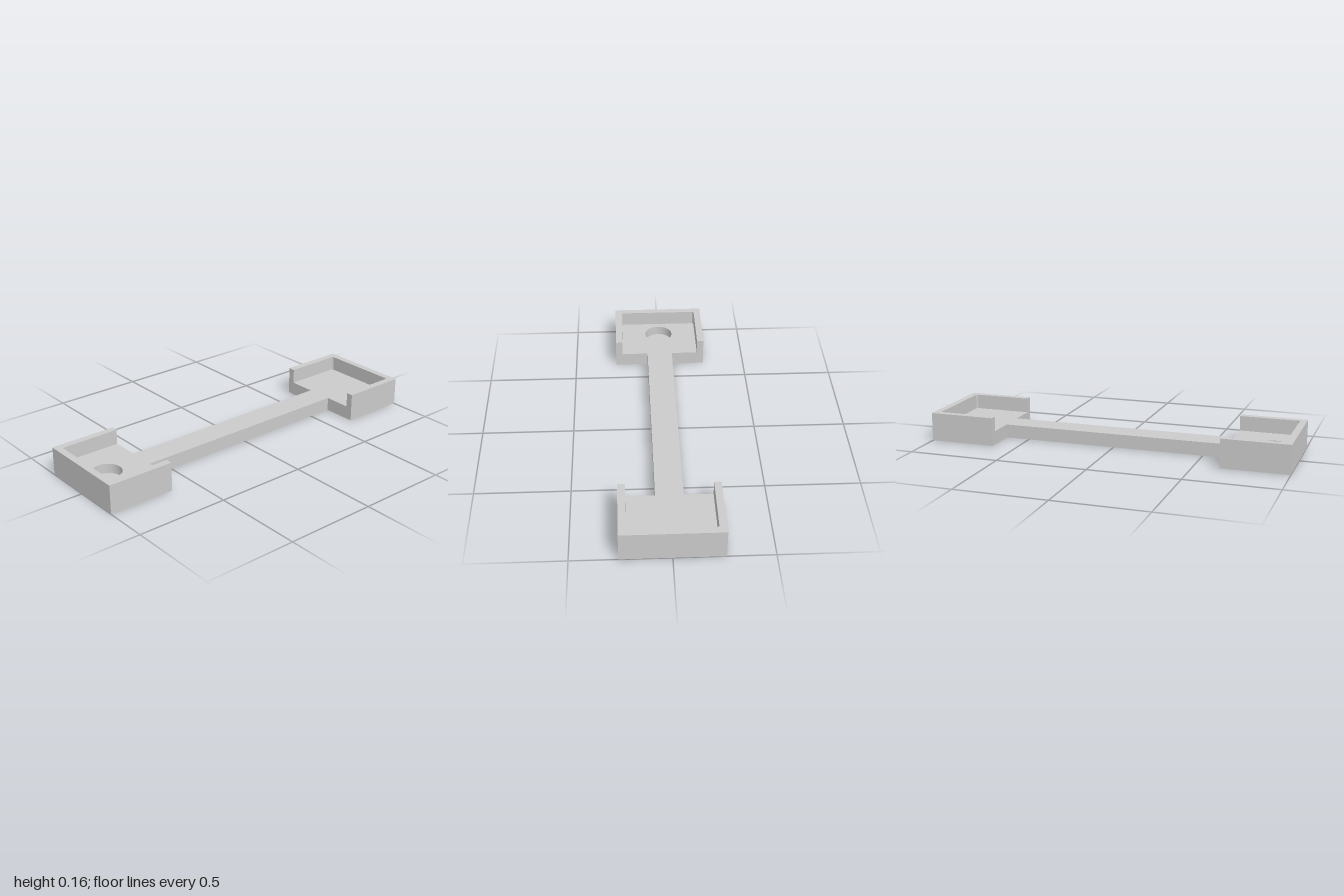
import * as THREE from 'three';

const PAD_X = 0.635, PAD_Z = 0.26, BAR_Z = 0.0725;
const FLOOR = 0.075, TOP = 0.157, WALL = 0.038;
const HOLE_FLOOR = 0.022;

const material = new THREE.MeshStandardMaterial({ color: 0xcccccc });

// Extrudes a plan-view shape upward from y0 to y1.
function slab(name, shape, y0, y1) {
  const geometry = new THREE.ExtrudeGeometry(shape, {
    depth: y1 - y0, bevelEnabled: false, curveSegments: 32,
  });
  geometry.rotateX(-Math.PI / 2).translate(0, y0, 0);
  const mesh = new THREE.Mesh(geometry, material);
  mesh.name = name;
  return mesh;
}

function polygon(points) {
  return new THREE.Shape(points.map(([x, z]) => new THREE.Vector2(x, z)));
}

// Dumbbell outline: two rectangular pads joined by a narrow bar.
function baseOutline() {
  return polygon([
    [-1, -PAD_Z], [-PAD_X, -PAD_Z], [-PAD_X, -BAR_Z], [PAD_X, -BAR_Z],
    [PAD_X, -PAD_Z], [1, -PAD_Z], [1, PAD_Z], [PAD_X, PAD_Z],
    [PAD_X, BAR_Z], [-PAD_X, BAR_Z], [-PAD_X, PAD_Z], [-1, PAD_Z],
  ]);
}

// Three-sided rim, open toward the bar, with slightly rounded inner corners.
function rimOutline(side) {
  const inX = 1 - WALL, inZ = PAD_Z - WALL, r = 0.008;
  const s = new THREE.Shape();
  s.moveTo(side * PAD_X, -PAD_Z);
  s.lineTo(side, -PAD_Z);
  s.lineTo(side, PAD_Z);
  s.lineTo(side * PAD_X, PAD_Z);
  s.lineTo(side * PAD_X, inZ);
  s.lineTo(side * (inX - r), inZ);
  s.lineTo(side * inX, inZ - r);
  s.lineTo(side * inX, -inZ + r);
  s.lineTo(side * (inX - r), -inZ);
  s.lineTo(side * PAD_X, -inZ);
  s.closePath();
  return s;
}

export function createModel() {
  const model = new THREE.Group();
  model.name = 'connectingBracket';

  // Solid underside, then the floor layer with a blind round recess
  model.add(slab('baseUnderside', baseOutline(), 0, HOLE_FLOOR));
  const floor = baseOutline();
  floor.holes.push(new THREE.Path().absarc(-0.848, 0, 0.08, 0, Math.PI * 2, true));
  model.add(slab('baseFloor', floor, HOLE_FLOOR, FLOOR));

  // Raised rims around both pads
  model.add(slab('rightRim', rimOutline(-1), FLOOR, TOP));
  model.add(slab('leftRim', rimOutline(1), FLOOR, TOP));

  return model;
}
